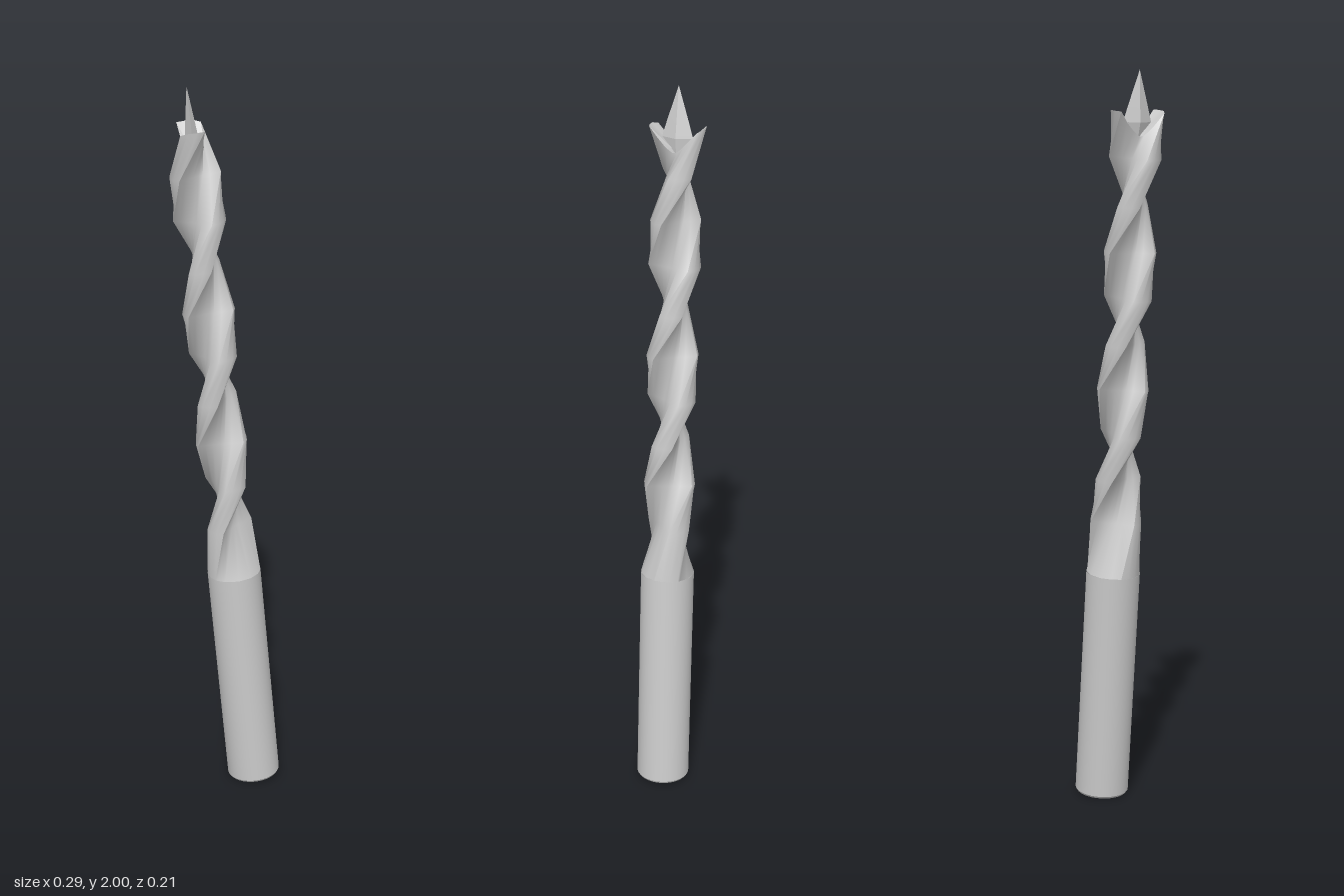
import * as THREE from 'three';
import { toCreasedNormals } from 'three/addons/utils/BufferGeometryUtils.js';

const R = 0.0735;         // drill radius
const CORE = 0.026;       // web radius between the flutes
const PITCH = 0.685;      // height of one full turn
const FOOT = 0.64;        // top of the shank
const TOP = 1.895;        // height of the spurs
const TIP = 2.0;          // height of the centre point
const LEVELS = 10;        // lofted steps along the flutes

// Cross-section pieces: [angle in degrees, radius]
const LAND = [[-26, 0.07], [-9, R], [9, R], [26, R]];
const FLUTE = [[26, R], [31, 0.053], [50, 0.036], [80, CORE], [108, 0.028], [133, 0.043], [154, 0.07]];

const twist = y => (y - 1.262) / PITCH * Math.PI * 2;

// Point of the twisted section at a level; level 0 is round and sits on the shank
function sectionPoint([deg, r], level, turn) {
  const h = level === 0 ? FOOT : 0.66 + level * (TOP - 0.66) / LEVELS;
  const radius = level === 0 ? R : level === LEVELS ? r : r * 0.95;
  const a = THREE.MathUtils.degToRad(deg + turn) + twist(level === 0 ? 0.725 : h);
  const sink = level === LEVELS ? (R - r) / (R - CORE) * 0.065 : 0;
  return [Math.sin(a) * radius, h - sink, Math.cos(a) * radius];
}

function build(pos, idx) {
  const g = new THREE.BufferGeometry();
  g.setAttribute('position', new THREE.Float32BufferAttribute(pos, 3));
  g.setIndex(idx);
  g.computeVertexNormals();
  return g;
}

// Smooth twisted strip swept from one piece of the section
function helicalStrip(section, turn) {
  const n = section.length, pos = [], idx = [];
  for (let i = 0; i <= LEVELS; i++) {
    section.forEach(p => pos.push(...sectionPoint(p, i, turn)));
    for (let j = 0; i < LEVELS && j < n - 1; j++) {
      const a = i * n + j, b = a + 1;
      idx.push(a, b, a + n, b, b + n, a + n);
    }
  }
  return build(pos, idx);
}

// End face sinking from the spurs to the middle
function spurFace() {
  const pos = [0, TOP - 0.07, 0], idx = [];
  const ring = [0, 180].flatMap(t => [...LAND, ...FLUTE.slice(1, -1)].map(p => sectionPoint(p, LEVELS, t)));
  ring.forEach((p, j) => {
    pos.push(...p);
    idx.push(0, j + 1, (j + 1) % ring.length + 1);
  });
  return toCreasedNormals(build(pos, idx), 0.5);
}

// Flat diamond-shaped brad point
function bradPoint() {
  const pts = [[0, 1.77], [0.042, 1.865], [0.03, 1.905], [0, TIP]].map(p => new THREE.Vector2(...p));
  const g = toCreasedNormals(new THREE.LatheGeometry(pts, 4), 0.4);
  g.scale(0.42, 1, 1);
  g.rotateY(twist(TOP));
  return g;
}

// Round shank with a small chamfer at the foot
function shank() {
  const pts = [[0, 0], [R - 0.004, 0], [R, 0.006], [R, FOOT]].map(p => new THREE.Vector2(...p));
  return toCreasedNormals(new THREE.LatheGeometry(pts, 32), 0.5);
}

export function createModel() {
  const material = new THREE.MeshStandardMaterial({ color: 0xcccccc, side: THREE.DoubleSide });
  const drill = new THREE.Group();
  drill.name = 'drillBit';
  const add = (name, geometry) => {
    const mesh = new THREE.Mesh(geometry, material);
    mesh.name = name;
    drill.add(mesh);
  };
  add('shank', shank());
  for (const turn of [0, 180]) {
    add('land', helicalStrip(LAND, turn));
    add('flute', helicalStrip(FLUTE, turn));
  }
  add('spurFace', spurFace());
  add('bradPoint', bradPoint());

  // The whole tool leans slightly
  const foot = new THREE.Vector3(0.074, 0.006, 0.033);
  const axis = new THREE.Vector3(-0.095, 2, -0.035).sub(foot).normalize();
  drill.quaternion.setFromUnitVectors(new THREE.Vector3(0, 1, 0), axis);
  drill.position.copy(foot);

  const model = new THREE.Group();
  model.add(drill);
  return model;
}
